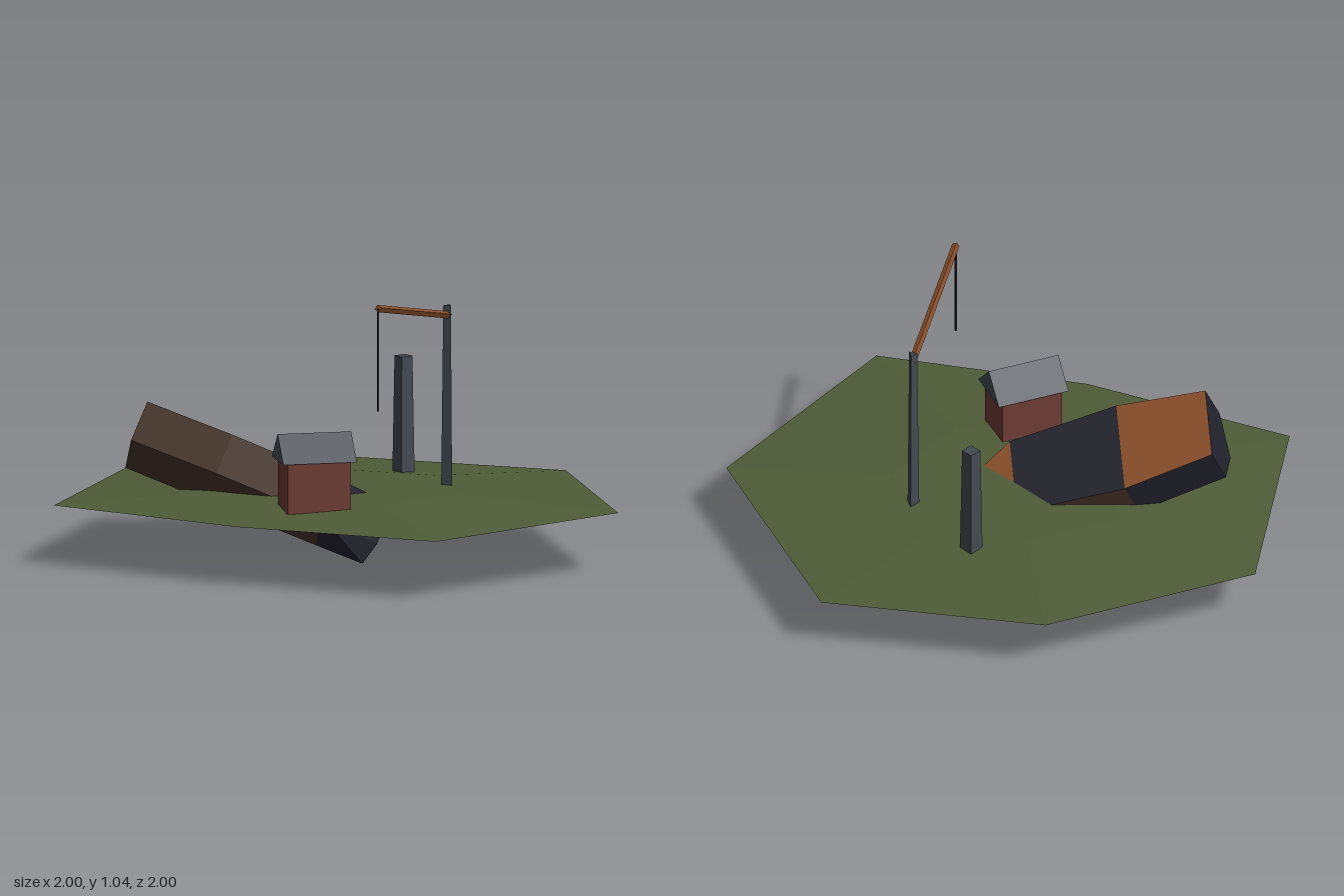
import * as THREE from 'three';

const material = (name, color, extra = {}) => {
  const m = new THREE.MeshStandardMaterial({ color, flatShading: true, ...extra });
  m.name = name;
  return m;
};

// Flat faces (3 or 4 corners each), turned outward from a centre point
function facesGeometry(faces, centre) {
  const positions = [];
  for (const face of faces) {
    const p = face.map((c) => new THREE.Vector3(...c));
    const normal = new THREE.Vector3().crossVectors(p[1].clone().sub(p[0]), p[2].clone().sub(p[0]));
    if (normal.dot(p[0].clone().sub(centre)) < 0) p.reverse();
    for (let i = 1; i < p.length - 1; i++) {
      for (const v of [p[0], p[i], p[i + 1]]) positions.push(v.x, v.y, v.z);
    }
  }
  const g = new THREE.BufferGeometry();
  g.setAttribute('position', new THREE.Float32BufferAttribute(positions, 3));
  g.computeVertexNormals();
  return g;
}

export function createModel() {
  const model = new THREE.Group();
  model.name = 'shipwreckIsland';
  const grass = material('grass green', 0x4f5c37, { side: THREE.DoubleSide });
  const rust = material('rust orange', 0x8a4f2b);
  const navy = material('dark navy', 0x24242f);
  const brown = material('dark brown', 0x4a372c);
  const red = material('barn red', 0x6e3c34);
  const slate = material('slate grey', 0x434a51);

  const add = (name, geometry, mat, parent = model) => {
    const mesh = new THREE.Mesh(geometry, mat);
    mesh.name = name;
    parent.add(mesh);
    return mesh;
  };

  // Ground: shallow seven-sided mound, open underneath
  const rim = [[-0.28, -1], [0.51, -0.69], [1, 0], [0.64, 0.87], [-0.27, 1], [-0.7, 0.32], [-1, -0.45]];
  const outer = rim.map(([x, z]) => [x, 0.23, z]);
  const inner = rim.map(([x, z]) => [x * 0.42, 0.268, z * 0.42]);
  const mound = [];
  rim.forEach((_, i) => {
    const j = (i + 1) % rim.length;
    mound.push([outer[i], outer[j], inner[j], inner[i]], [inner[i], inner[j], [0, 0.272, 0]]);
  });
  add('ground', facesGeometry(mound, new THREE.Vector3(0, -5, 0)), grass);

  // Wrecked hull: V-bottomed sections along x, from stern to bow
  const hull = new THREE.Group();
  hull.name = 'hull';
  hull.rotation.set(0, -0.753, -0.49, 'ZYX');
  model.add(hull);
  const stations = [[-0.869, 0.148, 0.131], [-0.52, 0.192, 0.131], [-0.095, 0.164, 0.131], [0.113, 0.005, 0.145]];
  const sections = stations.map(([s, half, z], i) => ({
    deckPort: [s, 0.232, z + half],
    deckStar: [s, 0.232, z - half],
    chinePort: [s, 0.075, z + half],
    chineStar: [s, 0.075, z - half],
    keel: [i === 3 ? s - 0.02 : s, -0.012, z],
  }));
  const paint = new Map([[rust, []], [navy, []], [brown, []]]);
  const strip = (a, b, mats) => mats.forEach((mat, i) => {
    const p = sections[i], q = sections[i + 1];
    // two triangles, as the bow panels are twisted
    paint.get(mat).push([p[a], q[a], q[b]], [p[a], q[b], p[b]]);
  });
  strip('deckPort', 'deckStar', [rust, navy, rust]);
  strip('deckPort', 'chinePort', [brown, brown, navy]);
  strip('deckStar', 'chineStar', [navy, brown, brown]);
  strip('chinePort', 'keel', [brown, brown, navy]);
  strip('chineStar', 'keel', [rust, rust, rust]);
  for (const e of [sections[0], sections[3]]) {
    paint.get(navy).push(
      [e.deckPort, e.deckStar, e.chineStar, e.chinePort],
      [e.chinePort, e.chineStar, e.keel],
    );
  }
  const hullCentre = new THREE.Vector3(-0.38, 0.12, 0.135);
  for (const [mat, faces] of paint) {
    add(`hullPanels ${mat.name}`, facesGeometry(faces, hullCentre), mat, hull);
  }

  // Hut with a closed gable roof
  const hut = new THREE.Group();
  hut.name = 'hut';
  hut.position.set(-0.315, 0, 0.265);
  hut.rotation.y = -0.384;
  model.add(hut);
  add('hutWalls', new THREE.BoxGeometry(0.24, 0.19, 0.17), red, hut).position.y = 0.345;
  const gable = new THREE.Shape([
    new THREE.Vector2(-0.1, 0), new THREE.Vector2(0.1, 0), new THREE.Vector2(0, 0.1),
  ]);
  const roof = new THREE.ExtrudeGeometry(gable, { depth: 0.28, bevelEnabled: false });
  roof.translate(0, 0, -0.14).rotateY(Math.PI / 2);
  add('hutRoof', roof, slate, hut).position.y = 0.44;

  // Standing posts
  const post = new THREE.CylinderGeometry(0.034, 0.042, 0.44, 4).rotateY(Math.PI / 4);
  add('shortPost', post, slate).position.set(0.383, 0.48, -0.168);
  add('craneMast', new THREE.CylinderGeometry(0.018, 0.026, 0.69, 3), slate).position.set(0.343, 0.6, 0.184);

  // Crane boom and hanging cable
  const rod = (name, from, to, radius, mat) => {
    const a = new THREE.Vector3(...from), b = new THREE.Vector3(...to);
    const dir = b.clone().sub(a);
    const mesh = add(name, new THREE.CylinderGeometry(radius, radius, dir.length(), 4).rotateY(Math.PI / 4), mat);
    mesh.position.copy(a).add(b).multiplyScalar(0.5);
    mesh.quaternion.setFromUnitVectors(new THREE.Vector3(0, 1, 0), dir.normalize());
  };
  rod('craneBoom', [0.345, 0.908, 0.184], [-0.183, 1.028, 0.49], 0.014, rust);
  rod('craneCable', [-0.183, 0.64, 0.49], [-0.183, 1.028, 0.49], 0.004, navy);

  return model;
}
